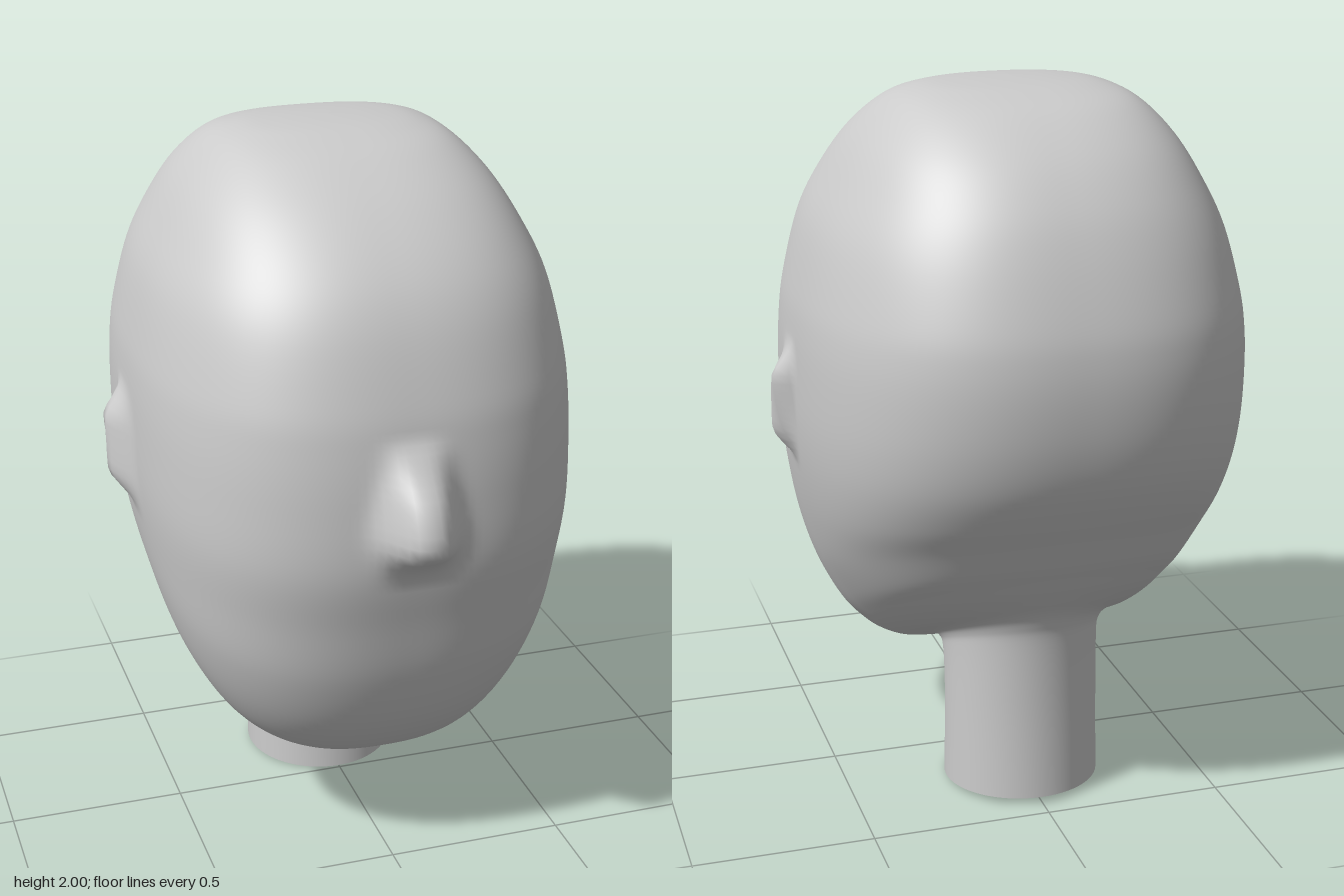
import * as THREE from 'three';

// Tilted rings from the neck up to the crown:
// [front z, front y, back z, back y, half width, roundness exponent]
const RINGS = [
  [-0.01, 0, -0.445, 0.02, 0.22, 2],
  [-0.02, 0.2, -0.435, 0.28, 0.217, 2],
  [-0.005, 0.32, -0.435, 0.48, 0.218, 2],
  [0.03, 0.342, -0.445, 0.545, 0.225, 2],
  [0.09, 0.318, -0.465, 0.59, 0.25, 2.1],
  [0.17, 0.272, -0.5, 0.635, 0.31, 2.2],
  [0.25, 0.262, -0.535, 0.68, 0.365, 2.3],
  [0.33, 0.275, -0.565, 0.725, 0.41, 2.4],
  [0.43, 0.325, -0.6, 0.775, 0.46, 2.5],
  [0.53, 0.45, -0.65, 0.86, 0.52, 2.5],
  [0.6, 0.62, -0.7, 0.94, 0.562, 2.6],
  [0.64, 0.8, -0.75, 1.04, 0.59, 2.6],
  [0.672, 0.97, -0.78, 1.15, 0.605, 2.6],
  [0.67, 1.15, -0.793, 1.27, 0.607, 2.6],
  [0.655, 1.3, -0.79, 1.38, 0.602, 2.6],
  [0.63, 1.42, -0.77, 1.48, 0.587, 2.6],
  [0.565, 1.6, -0.715, 1.63, 0.547, 2.6],
  [0.48, 1.73, -0.65, 1.75, 0.49, 2.6],
  [0.35, 1.85, -0.555, 1.86, 0.42, 2.6],
  [0.2, 1.94, -0.43, 1.945, 0.335, 2.6],
  [0.08, 1.98, -0.3, 1.983, 0.25, 2.5],
  [0, 1.995, -0.2, 1.996, 0.14, 2.3],
  [-0.1, 2, -0.1, 2, 0, 2],
];

// Nose height above the face: [y, protrusion]
const NOSE = [[0.94, 0], [0.99, 0.02], [1.025, 0.075], [1.06, 0.122], [1.1, 0.13],
  [1.14, 0.119], [1.19, 0.1], [1.26, 0.045], [1.33, 0]];

const STEPS = 6;
const SIDES = 192;
const { smoothstep, lerp } = THREE.MathUtils;

function catmull(a, b, c, d, t) {
  return b + 0.5 * t * (c - a + t * (2 * a - 5 * b + 4 * c - d + t * (3 * (b - c) + d - a)));
}

function ringAt(row) {
  const last = RINGS.length - 1;
  const i = Math.min(Math.floor(row / STEPS), last - 1);
  const t = row / STEPS - i;
  const [a, b, c, d] = [Math.max(i - 1, 0), i, i + 1, Math.min(i + 2, last)].map((k) => RINGS[k]);
  return b.map((v, k) => catmull(a[k], v, c[k], d[k], t));
}

function noseHeight(x, y) {
  for (let i = 1; i < NOSE.length; i++) {
    const [y0, h0] = NOSE[i - 1];
    const [y1, h1] = NOSE[i];
    if (y >= y0 && y <= y1) {
      const width = lerp(0.095, 0.075, smoothstep(y, 1.05, 1.28));
      return lerp(h0, h1, (y - y0) / (y1 - y0)) * Math.exp(-Math.pow(Math.abs(x) / width, 3));
    }
  }
  return 0;
}

// Ear flap: a gentle slope from the front that drops off sharply behind
function earHeight(y, z) {
  const dz = z + 0.07 + 0.15 * (y - 1.13);
  const along = dz > 0 ? 1 - smoothstep(dz, 0, 0.14) : smoothstep(dz, -0.04, 0);
  return 0.056 * along * smoothstep(y, 0.95, 1.06) * (1 - smoothstep(y, 1.2, 1.31));
}

export function createModel() {
  const rows = (RINGS.length - 1) * STEPS;
  const positions = [];
  const index = [];

  for (let r = 0; r <= rows; r++) {
    const [zf, yf, zb, yb, w, n] = ringAt(r);
    for (let i = 0; i < SIDES; i++) {
      const angle = (i / SIDES) * Math.PI * 2;
      const s = Math.sin(angle);
      const c = Math.cos(angle);
      const radius = Math.pow(Math.abs(s) ** n + Math.abs(c) ** n, -1 / n);
      const k = (1 - c * radius) / 2;
      let x = w * s * radius;
      const y = lerp(yf, yb, k);
      let z = lerp(zf, zb, k);
      // Pull the nose and both ears out of the head
      if (z > 0.5) z += noseHeight(x, y);
      else if (Math.abs(x) > 0.5) x += Math.sign(x) * earHeight(y, z);
      positions.push(x, y, z);

      if (r < rows) {
        const a = r * SIDES + i;
        const b = r * SIDES + ((i + 1) % SIDES);
        index.push(a, b, a + SIDES, b, b + SIDES, a + SIDES);
      }
    }
  }

  const geometry = new THREE.BufferGeometry();
  geometry.setAttribute('position', new THREE.Float32BufferAttribute(positions, 3));
  geometry.setIndex(index);
  geometry.computeVertexNormals();

  // The neck is open at the bottom, so the inside shows as well
  const material = new THREE.MeshStandardMaterial({ color: 0xcccccc, side: THREE.DoubleSide });
  const head = new THREE.Mesh(geometry, material);
  head.name = 'headAndNeck';

  const group = new THREE.Group();
  group.name = 'mannequinHead';
  group.add(head);
  return group;
}
